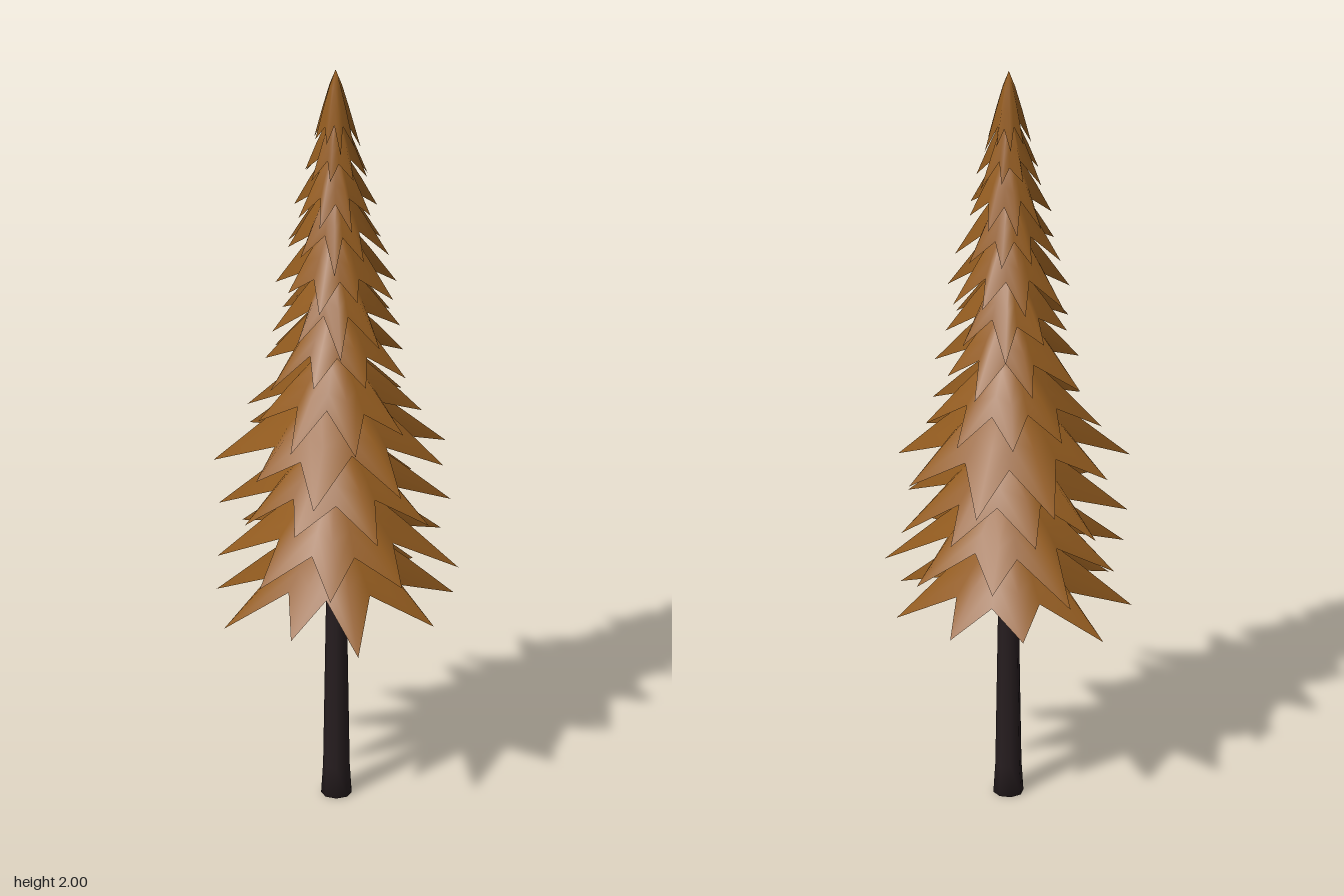
import * as THREE from 'three';

const needles = new THREE.MeshStandardMaterial({ color: 0x925b1f, side: THREE.DoubleSide });
needles.name = 'russet needles';
const bark = new THREE.MeshStandardMaterial({ color: 0x261d1f });
bark.name = 'dark bark';

// Small seeded generator, returns -1..1
let seed = 7;
function jitter() {
  seed = (seed * 16807) % 2147483647;
  return (seed / 2147483647) * 2 - 1;
}

// Umbrella of drooping spikes: rays alternate between ridges (to a tip) and valleys (to a notch)
const RIDGE = { r: [0.26, 0.55, 1], drop: [0.2, 0.5, 1] };
const VALLEY = { r: [0.23, 0.4, 0.52], drop: [0.22, 0.46, 0.67] };
const SPIKES = 9;

function branchTier(radius, height, phase) {
  const rays = SPIKES * 2;
  const pos = [0, 0, 0];
  const index = [];
  for (let i = 0; i < rays; i++) {
    const ridge = i % 2 === 0;
    const profile = ridge ? RIDGE : VALLEY;
    const a = phase + ((i + jitter() * 0.2) / rays) * Math.PI * 2;
    const reach = ridge ? 0.93 + jitter() * 0.08 : 1 + jitter() * 0.06;
    for (let k = 0; k < 3; k++) {
      const stretch = k === 2 ? reach : 1;
      const r = radius * profile.r[k] * stretch;
      pos.push(Math.sin(a) * r, -height * profile.drop[k] * stretch, Math.cos(a) * r);
    }
    const p = 1 + i * 3;
    const q = 1 + ((i + 1) % rays) * 3;
    index.push(0, p, q);
    for (let k = 0; k < 2; k++) {
      // Split each quad so the ridge and valley creases stay continuous
      if (ridge) index.push(p + k, p + k + 1, q + k, q + k, p + k + 1, q + k + 1);
      else index.push(p + k, p + k + 1, q + k + 1, p + k, q + k + 1, q + k);
    }
  }
  const geo = new THREE.BufferGeometry();
  geo.setAttribute('position', new THREE.Float32BufferAttribute(pos, 3));
  geo.setIndex(index);
  geo.computeVertexNormals();
  return geo;
}

// [tip height, tip radius, tier height, turn in degrees]
const TIERS = [
  [0.515, 0.315, 0.245, 15], [0.645, 0.315, 0.24, 37], [0.775, 0.295, 0.235, 20], [0.905, 0.312, 0.25, 33],
  [1.03, 0.235, 0.215, 10], [1.165, 0.205, 0.215, 26], [1.275, 0.175, 0.21, 4], [1.385, 0.162, 0.215, 24],
  [1.49, 0.138, 0.21, 38], [1.59, 0.12, 0.205, 18], [1.695, 0.088, 0.2, 34], [1.785, 0.062, 0.215, 13],
];

export function createModel() {
  seed = 7;
  const tree = new THREE.Group();
  tree.name = 'conifer';

  // Trunk: flared foot below a long taper hidden in the crown
  const trunk = new THREE.Mesh(
    new THREE.LatheGeometry(
      [[0, 0], [0.038, 0], [0.033, 0.08], [0.025, 0.58], [0.016, 1.3], [0.004, 1.92], [0, 1.92]]
        .map(([r, y]) => new THREE.Vector2(r, y)), 8),
    bark);
  trunk.name = 'trunk';
  trunk.position.set(0.004, 0, 0.013);
  tree.add(trunk);

  // Crown: overlapping tiers, each turned against the one below
  const crown = new THREE.Group();
  crown.name = 'crown';
  TIERS.forEach(([tipY, radius, height, turn], i) => {
    const tier = new THREE.Mesh(branchTier(radius, height, THREE.MathUtils.degToRad(turn)), needles);
    tier.name = `branchTier${i + 1}`;
    const lean = i / (TIERS.length - 1);
    tier.position.set(0.002, tipY + height, 0.002 + lean * 0.016);
    crown.add(tier);
  });
  tree.add(crown);
  return tree;
}
